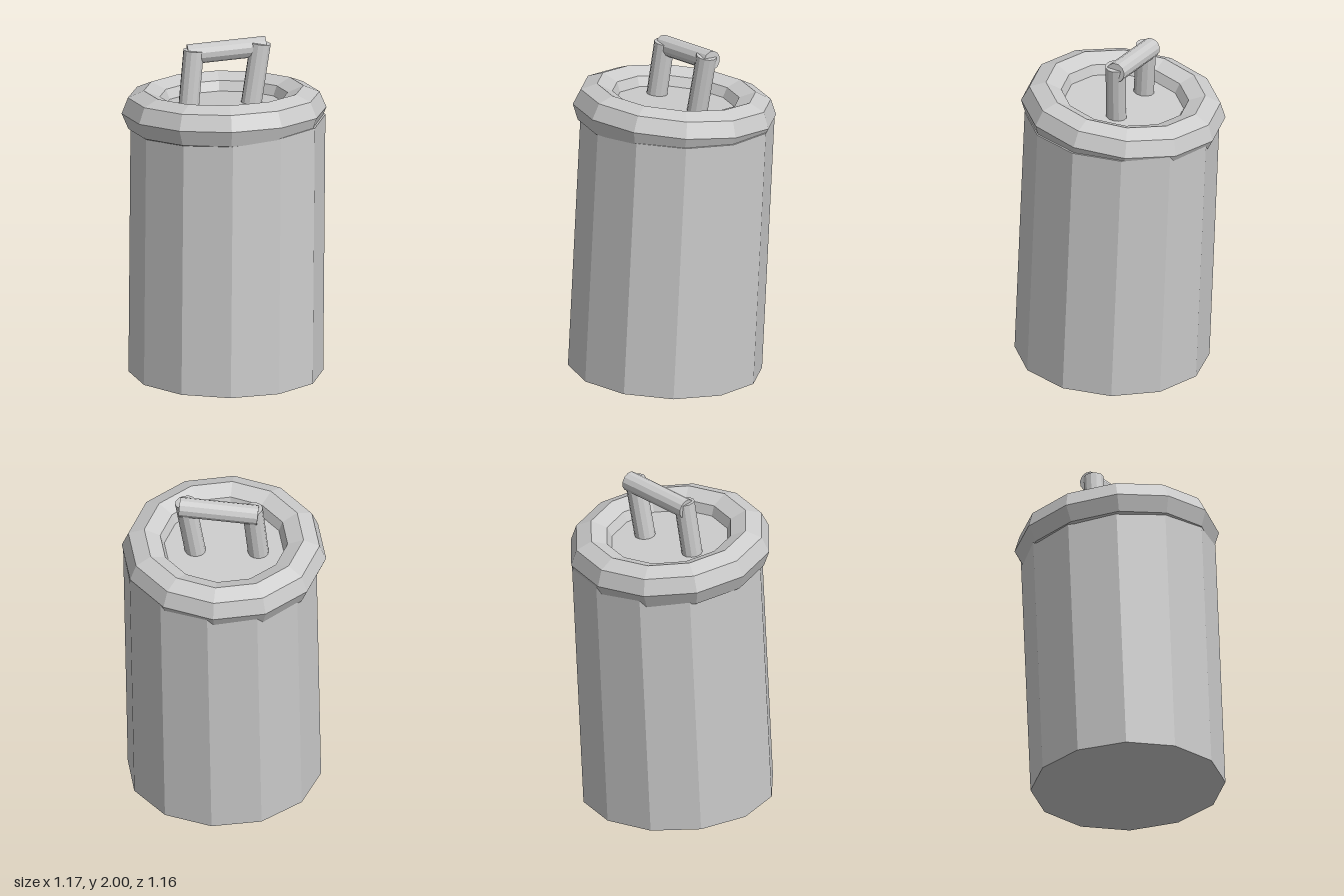
import * as THREE from 'three';

const UP = new THREE.Vector3(0, 1, 0);
const SIDES = 12;

export function createModel() {
  const root = new THREE.Group();
  root.name = 'lidded bin';
  const material = new THREE.MeshStandardMaterial({ color: 0xcccccc, flatShading: true });

  const add = (parent, name, geometry) => {
    const mesh = new THREE.Mesh(geometry, material);
    mesh.name = name;
    parent.add(mesh);
    return mesh;
  };

  // Group whose local y axis follows the given lean
  const leaning = (name, position, lean) => {
    const group = new THREE.Group();
    group.name = name;
    group.position.set(...position);
    group.quaternion.setFromUnitVectors(UP, new THREE.Vector3(...lean).normalize());
    root.add(group);
    return group;
  };

  // Closed cylinder between two points
  const rod = (name, from, to, radius) => {
    const a = new THREE.Vector3(...from);
    const axis = new THREE.Vector3(...to).sub(a);
    const mesh = add(root, name, new THREE.CylinderGeometry(radius, radius, axis.length(), SIDES));
    mesh.position.copy(a).addScaledVector(axis, 0.5);
    mesh.quaternion.setFromUnitVectors(UP, axis.normalize());
  };

  // Bin body, leaning slightly back and to its right
  const body = leaning('body', [0.04, 0.03, 0.04], [-0.028, 1, -0.043]);
  const height = 1.53;
  const barrel = add(body, 'barrel', new THREE.CylinderGeometry(0.56, 0.56, height, SIDES));
  barrel.position.y = height / 2;
  barrel.rotation.y = -Math.PI / 12;

  // Crooked lid: a faceted ring round a sunken disc
  const lid = leaning('lid', [-0.015, 1.59, -0.005], [-0.09, 1, -0.075]);
  const turn = THREE.MathUtils.degToRad(-13.5);
  const rim = add(lid, 'lidRim', new THREE.TorusGeometry(0.46, 0.13, 8, SIDES).rotateX(Math.PI / 2));
  rim.rotation.y = turn;
  const disc = add(lid, 'lidDisc', new THREE.CylinderGeometry(0.39, 0.39, 0.04, SIDES));
  disc.position.y = 0.015;
  disc.rotation.y = turn;

  // Handle: two posts and a grip across them
  rod('handlePostRight', [-0.17, 1.58, 0.13], [-0.173, 1.94, 0.08], 0.06);
  rod('handlePostLeft', [0.063, 1.58, -0.145], [0.083, 1.97, -0.21], 0.06);
  rod('handleGrip', [-0.205, 1.91, 0.095], [0.095, 1.945, -0.243], 0.058);

  return root;
}
